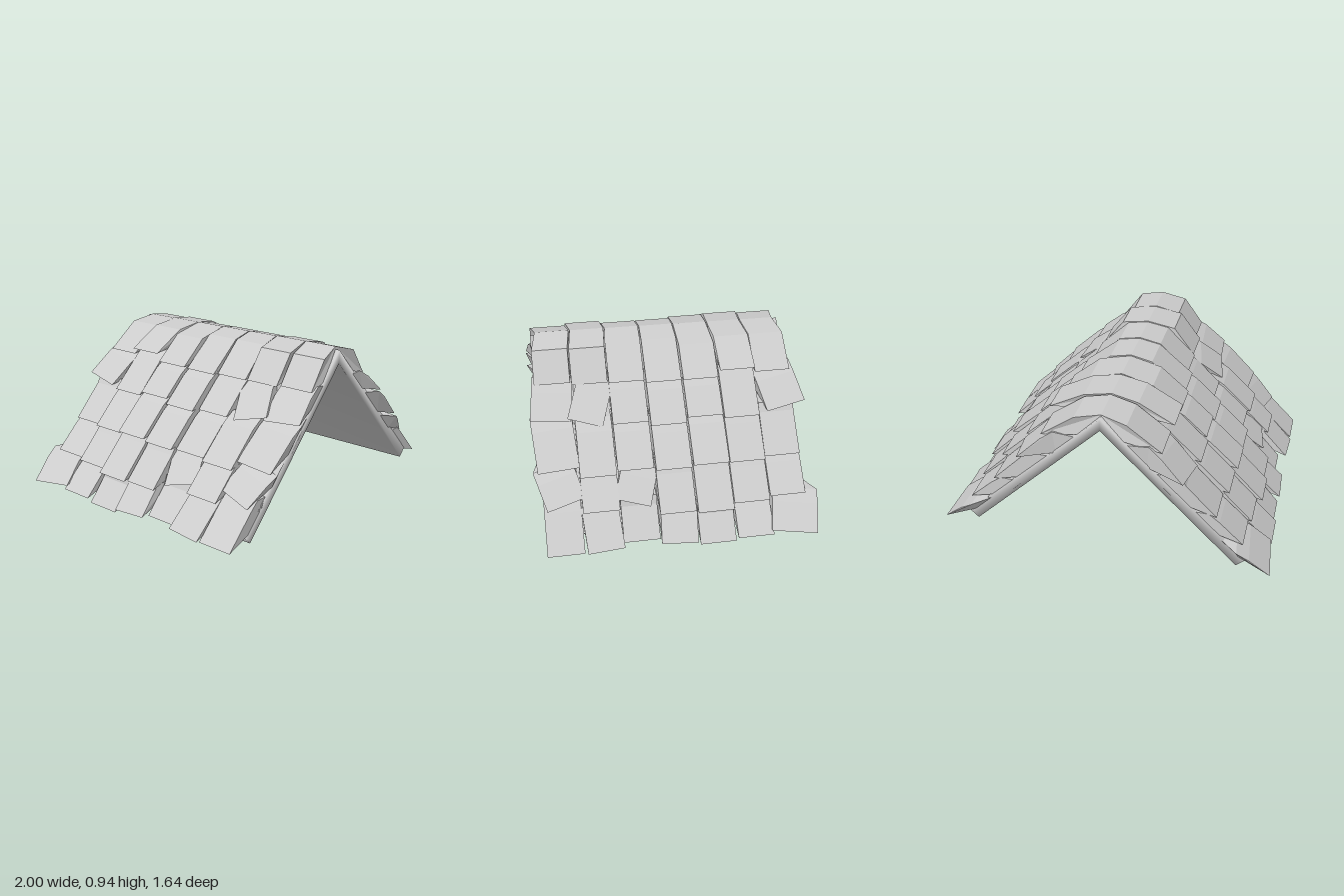
import * as THREE from 'three';
import { mergeVertices } from 'three/addons/utils/BufferGeometryUtils.js';

const material = new THREE.MeshStandardMaterial({ color: 0xcccccc, flatShading: true });
const smoothMaterial = new THREE.MeshStandardMaterial({ color: 0xcccccc });
const slopeNormal = new THREE.Vector3(1, 1, 0).normalize();

// Points are given as [u, y] with u = x + y: u is the height off the slope.
const WIDTH = 0.21, PITCH = 0.2175, FIRST_Z = 0.67, DECK_U = 0.9;

// Ridge cap per column, front to back: [crease x, crease y, end u, end y]
const ridge = [
  [0.15, 0.895, 1.0, 0.73], [0.17, 0.9, 1.03, 0.73], [0.13, 0.905, 1.04, 0.73],
  [0.13, 0.905, 1.07, 0.73], [0.19, 0.885, 1.1, 0.74], [0.16, 0.905, 1.16, 0.79],
  [0.15, 0.9, 1.1, 0.75],
];

// Shingles per row and column: [lower end u, lower end y, twist in degrees, reach past the gable]
const rows = [
  [[1.02, 0.58, -6, 0.025], [1.04, 0.565, -18], [1.03, 0.55, 0], [1.08, 0.55, 0], [1.1, 0.58, 0], [1.09, 0.56, 0], [1.09, 0.585, 12, 0.03]],
  [[1.03, 0.38, 4, 0.03], [1.05, 0.35, 0], [1.04, 0.36, 0], [1.08, 0.365, 0], [1.1, 0.38, 0], [1.07, 0.365, 0], [1.03, 0.36, 0]],
  [[1.02, 0.235, 16, 0.02], [1.03, 0.2, 0], [1.02, 0.215, -17], [1.03, 0.165, 0], [1.05, 0.165, 0], [1.03, 0.18, 0], [1.02, 0.19, 0]],
  [[1.0, 0.03, 0], [1.0, 0.03, 4], [0.945, 0.03, 0], [1.0, 0.03, -4], [0.965, 0.0, 0], [1.01, 0.03, 0], [1.025, 0.04, -9, 0.06]],
];

// Extrudes a cross-section in x and y along z, centred on z = 0
function prism(points, depth) {
  const shape = new THREE.Shape(points.map(([x, y]) => new THREE.Vector2(x, y)));
  return new THREE.ExtrudeGeometry(shape, { depth, bevelEnabled: false }).translate(0, 0, -depth / 2);
}

function addMesh(group, geometry, name, meshMaterial = material) {
  const mesh = new THREE.Mesh(geometry, meshMaterial);
  mesh.name = name;
  group.add(mesh);
}

// Bulging shingle: its root stays square on the deck, its outer face is twisted
function shingle(topU, topY, [endU, endY, twist, reach = 0], z) {
  const section = [
    [topU, topY], [DECK_U, topY], [DECK_U, endY + 0.05], [endU, endY],
    [topU * 0.3 + endU * 0.7, topY - 0.05],
  ];
  const geometry = prism(section.map(([u, y]) => [u - y, y]), WIDTH);
  const centre = new THREE.Vector3(1 - (topY + endY) / 2, (topY + endY) / 2, 0);
  const gable = Math.sign(z);
  const pos = geometry.attributes.position;
  const p = new THREE.Vector3();
  for (let i = 0; i < pos.count; i++) {
    p.fromBufferAttribute(pos, i);
    if (p.x + p.y < DECK_U + 0.01) continue;
    if (p.z * gable > 0) p.z += gable * reach;
    p.sub(centre).applyAxisAngle(slopeNormal, THREE.MathUtils.degToRad(twist)).add(centre);
    pos.setXYZ(i, p.x, p.y, p.z);
  }
  geometry.computeVertexNormals();
  return geometry.translate(0, 0, z);
}

// Half of a ridge cap, slightly drawn in along the peak
function ridgeCap([creaseX, creaseY, endU, endY], z, peakY) {
  const geometry = prism([
    [0, peakY], [0, 0.88], [DECK_U - endY - 0.04, endY + 0.04],
    [endU - endY, endY], [creaseX, creaseY],
  ], WIDTH).translate(0, 0, z);
  const pos = geometry.attributes.position;
  for (let i = 0; i < pos.count; i++) {
    if (pos.getX(i) < 0.01) pos.setZ(i, pos.getZ(i) * 0.965);
  }
  geometry.computeVertexNormals();
  return geometry;
}

function roofSide(name) {
  const side = new THREE.Group();
  side.name = name;
  for (let c = 0; c < ridge.length; c++) {
    const z = FIRST_Z - c * PITCH;
    addMesh(side, ridgeCap(ridge[c], z, 0.938 - c * 0.002), 'ridgeCap');
    let [, , aboveU, aboveY] = ridge[c];
    for (const row of rows) {
      // Each shingle starts beneath the lip of the one above
      const topU = Math.min(1.06, aboveU - 0.03);
      addMesh(side, shingle(topU, aboveY + 0.015, row[c], z), 'shingle');
      [aboveU, aboveY] = row[c];
    }
  }
  return side;
}

export function createModel() {
  const model = new THREE.Group();
  model.name = 'shingledRoof';

  // Folded roof deck under the shingles, softly shaded around its edges
  const deck = prism([
    [0, 0.92], [-0.85, 0.075], [-0.8, 0.025], [0, 0.84], [0.8, 0.025], [0.85, 0.075],
  ], 1.52).translate(0, 0, 0.015);
  deck.deleteAttribute('normal');
  deck.deleteAttribute('uv');
  const softDeck = mergeVertices(deck);
  softDeck.computeVertexNormals();
  addMesh(model, softDeck, 'roofDeck', smoothMaterial);

  // Both slopes are mirror images
  const left = roofSide('leftSlope');
  const right = roofSide('rightSlope');
  right.scale.x = -1;
  model.add(left, right);
  return model;
}
